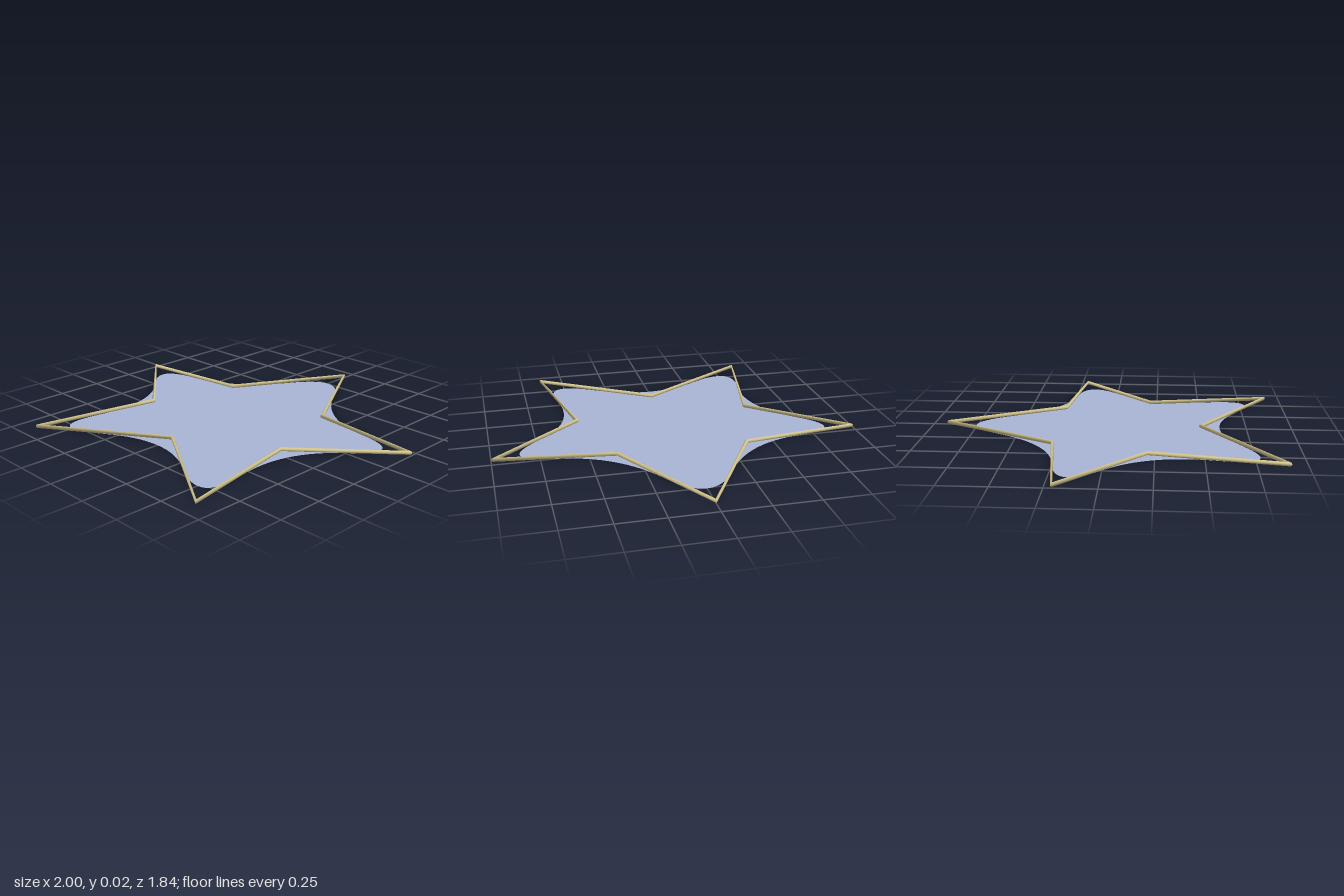
import * as THREE from 'three';

// Right half of the star as [x, z], from the rear tip round to the front notch
const HALF = [[0, -0.914], [0.352, -0.287], [0.989, -0.213], [0.498, 0.212], [0.632, 0.908], [0, 0.5]];
const STAR = [...HALF, ...HALF.slice(1, -1).reverse().map(([x, z]) => [-x, z])]
  .map(([x, z]) => new THREE.Vector2(x, z));
const at = (i) => STAR[(i + STAR.length) % STAR.length];

// Thin rounded sheet: each star corner pulls a curve between the edge midpoints
function sheetGeometry() {
  const mid = (i) => at(i).clone().add(at(i + 1)).multiplyScalar(0.5);
  const shape = new THREE.Shape();
  shape.moveTo(mid(-1).x, -mid(-1).y);
  STAR.forEach((p, i) => shape.quadraticCurveTo(p.x, -p.y, mid(i).x, -mid(i).y));
  return new THREE.ShapeGeometry(shape, 16).rotateX(-Math.PI / 2);
}

// Closed round wire with one ring of points at each star corner
function wireGeometry(radius, sides) {
  const positions = [], index = [], n = STAR.length;
  STAR.forEach((p, i) => {
    const t = at(i + 1).clone().sub(at(i - 1)).normalize();
    for (let j = 0; j < sides; j++) {
      const a = (j / sides) * Math.PI * 2;
      const out = radius * Math.cos(a);
      positions.push(p.x + t.y * out, radius * Math.sin(a), p.y - t.x * out);
      const k = (j + 1) % sides, next = (i + 1) % n;
      const a0 = i * sides + j, a1 = i * sides + k;
      const b0 = next * sides + j, b1 = next * sides + k;
      index.push(a0, a1, b0, a1, b1, b0);
    }
  });
  const geometry = new THREE.BufferGeometry();
  geometry.setAttribute('position', new THREE.Float32BufferAttribute(positions, 3));
  geometry.setIndex(index);
  geometry.computeVertexNormals();
  return geometry;
}

export function createModel() {
  const group = new THREE.Group();
  group.name = 'star';

  const sheet = new THREE.Mesh(
    sheetGeometry(),
    new THREE.MeshStandardMaterial({ color: 0xaab4d6, side: THREE.DoubleSide })
  );
  sheet.name = 'roundedSheet';

  const wire = new THREE.Mesh(
    wireGeometry(0.011, 8),
    new THREE.MeshStandardMaterial({ color: 0xd2c48c })
  );
  wire.name = 'starWire';
  wire.position.y = 0.012;

  group.add(sheet, wire);
  return group;
}
